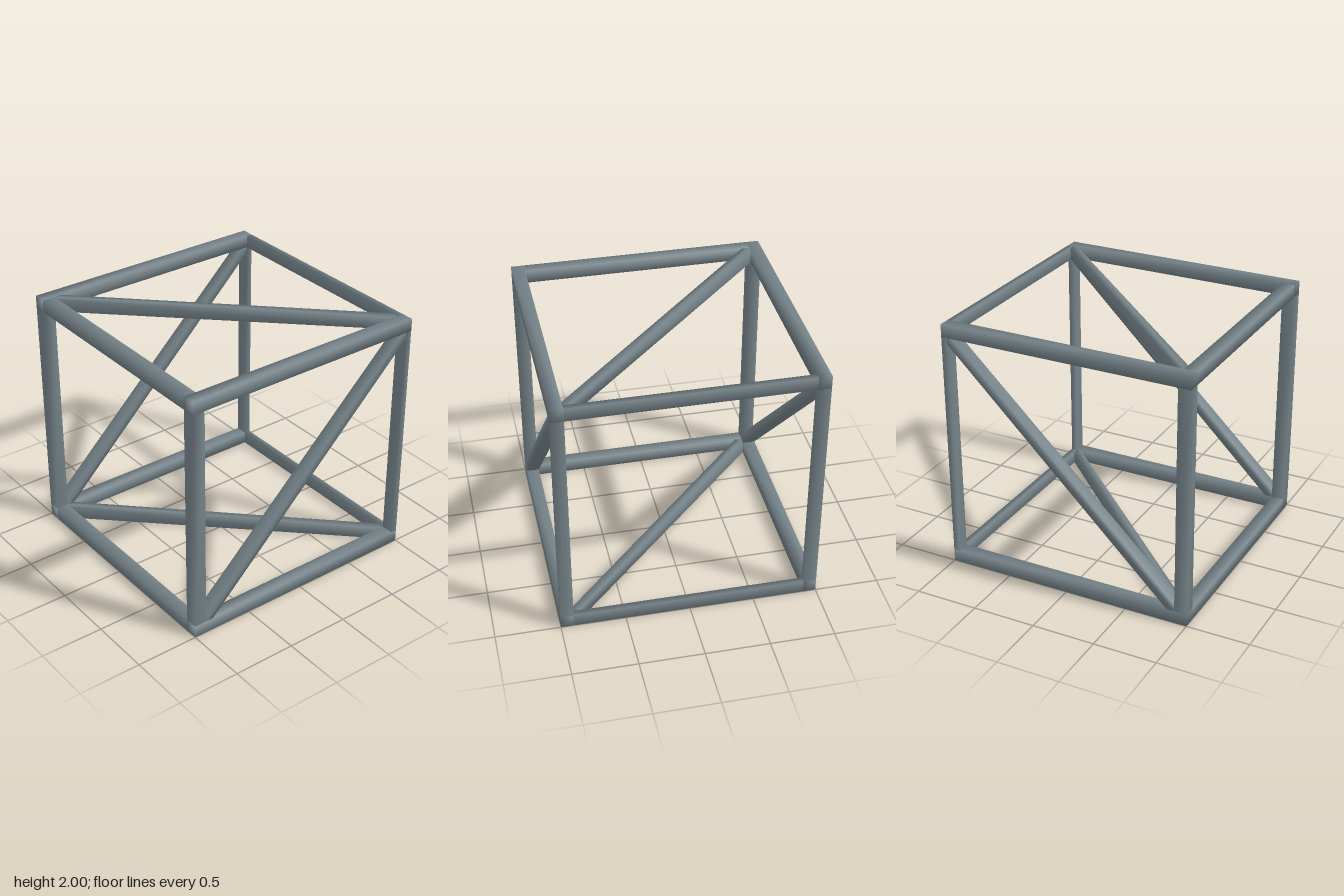
import * as THREE from 'three';
import { mergeVertices } from 'three/addons/utils/BufferGeometryUtils.js';

// Weld the corners so that shading runs softly around each bar
function soften(geometry) {
  geometry.deleteAttribute('normal');
  geometry.deleteAttribute('uv');
  const welded = mergeVertices(geometry, 1e-4);
  welded.clearGroups();
  welded.computeVertexNormals();
  return welded;
}

export function createModel() {
  const steel = new THREE.MeshStandardMaterial({ color: 0x76848a });
  steel.name = 'steel grey';
  const model = new THREE.Group();
  model.name = 'bracedCubeFrame';
  const T = 0.1; // bar thickness

  function bar(name, w, h, d, x, y, z) {
    const mesh = new THREE.Mesh(soften(new THREE.BoxGeometry(w, h, d)), steel);
    mesh.name = name;
    mesh.position.set(x, y, z);
    model.add(mesh);
  }

  // Full-length cross bars along x
  for (const y of [0.05, 1.95]) {
    for (const z of [-0.95, 0.95]) bar('crossBar', 2, T, T, 0, y, z);
  }

  // Uprights and side rails; those on the +x side are half as wide
  for (const [x, width] of [[-0.95, T], [0.975, T / 2]]) {
    for (const z of [-0.95, 0.95]) bar('upright', width, 1.8, T, x, 1, z);
    for (const y of [0.05, 1.95]) bar('sideRail', width, T, 1.8, x, y, 0);
  }

  // Slightly tapered diagonal brace, fitted between the inner corners
  const outline = new THREE.Shape([
    [-0.9, -0.9], [-0.84, -0.9], [0.95, 0.85],
    [0.95, 0.9], [0.91, 0.9], [-0.9, -0.84],
  ].map(([u, v]) => new THREE.Vector2(u, v)));
  const brace = new THREE.ExtrudeGeometry(outline, { depth: T, bevelEnabled: false });
  brace.translate(0, 0, -T / 2);
  const braceGeometry = soften(brace);

  function addBrace(name, y, z, turn) {
    const mesh = new THREE.Mesh(braceGeometry, steel);
    mesh.name = name;
    mesh.position.set(0, y, z);
    mesh.rotation.x = turn;
    model.add(mesh);
  }
  addBrace('frontBrace', 1, 0.95, 0);
  addBrace('backBrace', 1, -0.95, 0);
  addBrace('topBrace', 1.95, 0, Math.PI / 2);
  addBrace('bottomBrace', 0.05, 0, Math.PI / 2);

  return model;
}
